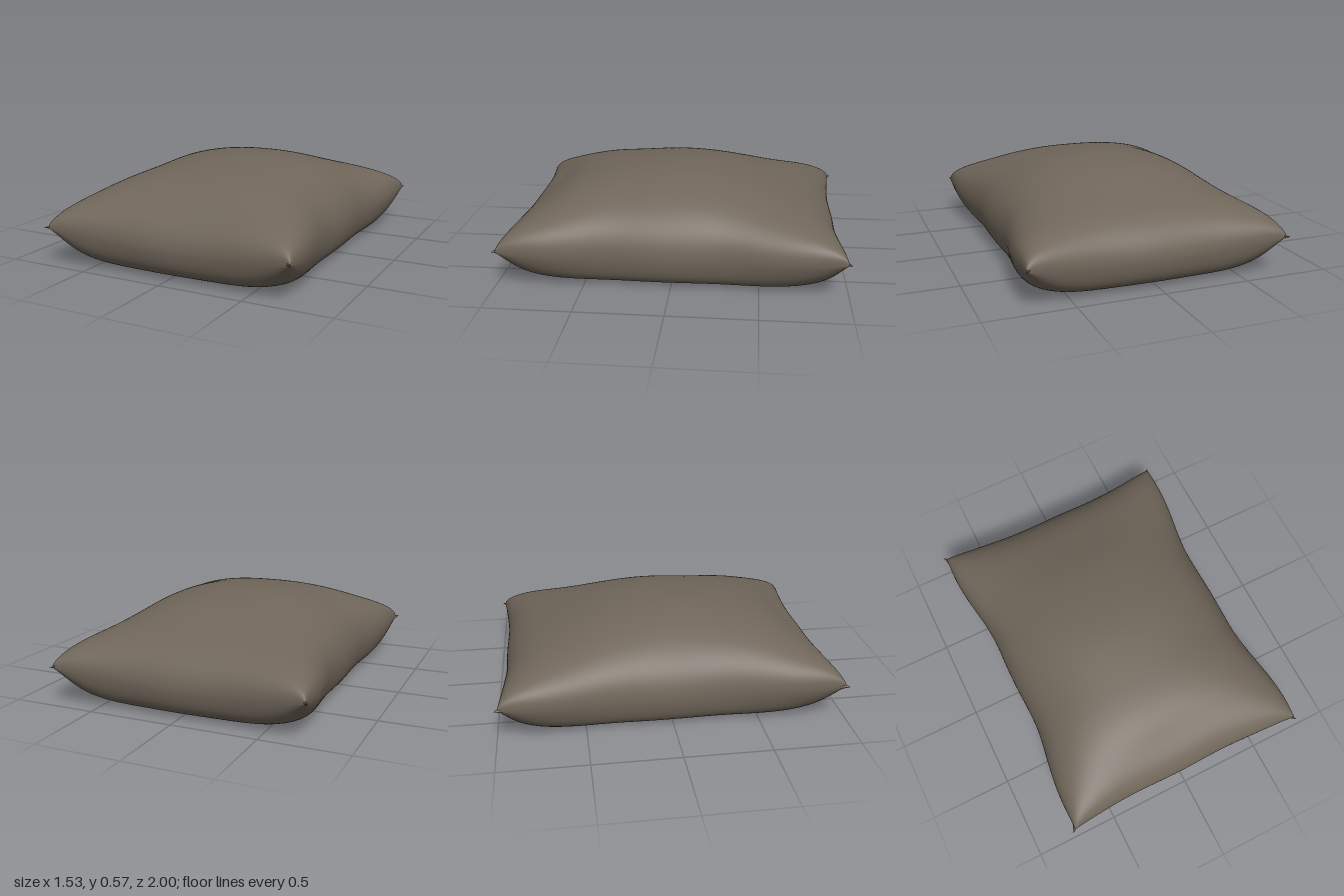
import * as THREE from 'three';
import { mergeGeometries, mergeVertices } from 'three/addons/utils/BufferGeometryUtils.js';

const { smoothstep, clamp } = THREE.MathUtils;

// Pillow surface for u (across) and v (lengthwise), both -1..1.
function place(u, v, top) {
  const au = Math.min(1, Math.abs(u)), av = Math.min(1, Math.abs(v));
  const corner = au * av;
  const seam = 0.165 + 0.055 * corner ** 2;
  // domed top, fuller towards the corners
  const rise = Math.max(0, 1 - au ** 2.3) ** (0.45 - 0.14 * av ** 2)
    * Math.max(0, 1 - av ** 2.2) ** (0.48 - 0.14 * au ** 2);
  // flat base that rounds up towards the edges and most at the corners
  const sink = Math.max(0, 1 - au ** 17) ** 0.42 * Math.max(0, 1 - av ** 18) ** 0.42 * (1 - 0.85 * corner ** 5);

  // blunt corners bulge past the waisted sides, less so underneath
  const flare = top ? 1 : 1 - 0.6 * sink;
  const inset = top ? 0 : 0.015 * sink;
  let x = u * ((u > 0 ? 0.705 : 0.695) - inset + 0.057 * smoothstep(av, 0.25, 0.9) * flare);
  let z = v * (0.95 - inset + 0.032 * au ** 4 * flare);

  let y;
  if (top) {
    // soft creases, a shallow dip behind the crown and a dent at the front
    const folds = 0.003 * Math.sin(11 * v + 2.2 * u * u + 1);
    const dip = -0.036 * Math.exp(-(((v + 0.62) / 0.25) ** 2));
    const dent = -0.03 * Math.exp(-(((v - 0.84) / 0.12) ** 2) - ((u / 0.45) ** 2));
    y = seam + (0.567 - seam + folds + dip + dent) * rise;
  } else {
    y = seam * (1 - sink);
  }
  // slight irregularity along the sides
  x += 0.004 * Math.sin(9 * v + u) * au ** 6;
  z += 0.003 * Math.sin(8 * u + 2 * v) * av ** 6;
  return [x, y, z];
}

// One half of the cushion, with rows crowded towards the seam
function half(top) {
  const g = new THREE.PlaneGeometry(2, 2, 80, 96);
  g.rotateX(top ? -Math.PI / 2 : Math.PI / 2);
  const p = g.attributes.position;
  const ease = (t) => Math.sin(clamp(t, -1, 1) * Math.PI / 2);
  for (let i = 0; i < p.count; i++) {
    p.setXYZ(i, ...place(ease(p.getX(i)), ease(p.getZ(i)), top));
  }
  g.deleteAttribute('uv');
  g.deleteAttribute('normal');
  return g;
}

export function createModel() {
  const group = new THREE.Group();
  group.name = 'pillow';
  const fabric = new THREE.MeshStandardMaterial({ color: 0x70665a });
  fabric.name = 'taupe fabric';

  // both halves welded along the seam
  const geometry = mergeVertices(mergeGeometries([half(true), half(false)]), 1e-4);
  geometry.computeVertexNormals();
  const cushion = new THREE.Mesh(geometry, fabric);
  cushion.name = 'cushion';
  group.add(cushion);

  // little pinched fabric ears at the corners
  for (const sx of [-1, 1]) {
    for (const sz of [-1, 1]) {
      const ear = new THREE.Mesh(new THREE.ConeGeometry(0.022, 0.06, 10), fabric);
      ear.name = 'cornerEar';
      ear.scale.z = 0.6;
      ear.position.set(sx * 0.748, 0.222, sz * 0.976);
      ear.quaternion.setFromUnitVectors(
        new THREE.Vector3(0, 1, 0),
        new THREE.Vector3(sx * 0.6, 0.1, sz * 0.8).normalize()
      );
      group.add(ear);
    }
  }
  return group;
}
